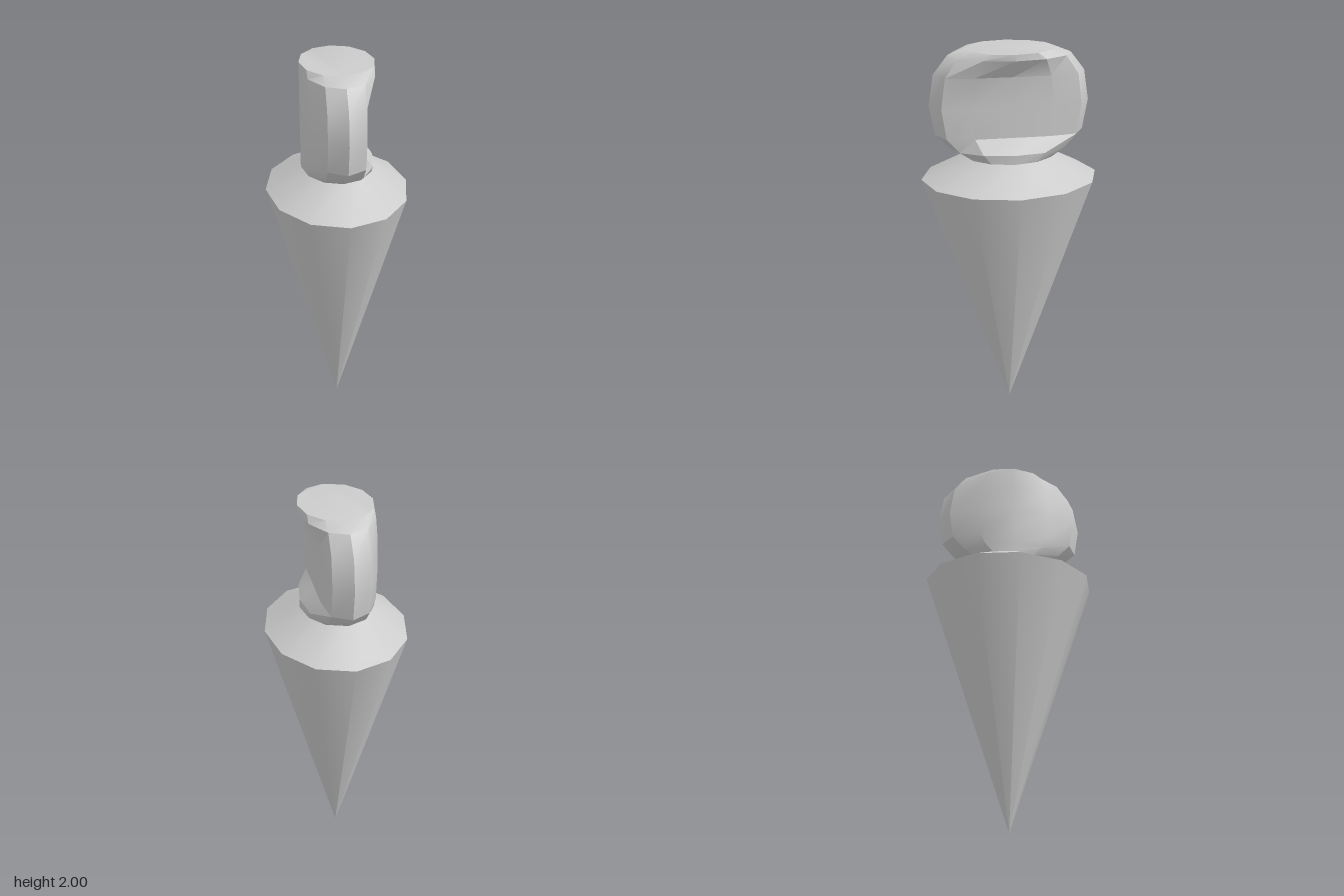
import * as THREE from 'three';
import { toCreasedNormals } from 'three/addons/utils/BufferGeometryUtils.js';

const SIDES = 12;
const material = new THREE.MeshStandardMaterial({ color: 0xcccccc });

// Open twelve-sided frustum with an oval section
function ovalFrustum(name, rTop, rBottom, yTop, yBottom) {
  const geo = new THREE.CylinderGeometry(rTop, rBottom, yTop - yBottom, SIDES, 1, true);
  geo.translate(0, (yTop + yBottom) / 2, 0);
  geo.scale(1, 1, 1.25);
  // Make the normals follow the oval surface
  geo.computeVertexNormals();
  const mesh = new THREE.Mesh(toCreasedNormals(geo, 0.8), material);
  mesh.name = name;
  return mesh;
}

// Rounded head: oval rings of constant width, with a recess on the +x side
function headGeometry() {
  // [height, half depth, is recessed]
  const rings = [
    [1.465, 0.225, false], [1.51, 0.302, false], [1.58, 0.373, true], [1.73, 0.398, true],
    [1.88, 0.373, true], [1.97, 0.302, false], [2.0, 0.225, false],
  ];
  const positions = [];
  const index = [];
  for (const [y, depth, recessed] of rings) {
    for (let i = 0; i < SIDES; i++) {
      const a = (i / SIDES) * Math.PI * 2;
      const x = 0.18 * Math.sin(a);
      positions.push(recessed ? Math.min(x, 0.11) : x, y, depth * Math.cos(a));
    }
  }
  for (let r = 0; r < rings.length - 1; r++) {
    for (let i = 0; i < SIDES; i++) {
      const next = (i + 1) % SIDES;
      const a = r * SIDES + i, b = r * SIDES + next;
      const c = b + SIDES, d = a + SIDES;
      index.push(a, b, c, a, c, d);
    }
  }
  // Flat caps
  const top = (rings.length - 1) * SIDES;
  for (let i = 1; i < SIDES - 1; i++) {
    index.push(top, top + i, top + i + 1);
    index.push(0, i + 1, i);
  }
  const geo = new THREE.BufferGeometry();
  geo.setAttribute('position', new THREE.Float32BufferAttribute(positions, 3));
  geo.setIndex(index);
  return toCreasedNormals(geo, 0.5);
}

export function createModel() {
  const model = new THREE.Group();
  model.name = 'spike';

  // Long tapering point and sloped shoulder
  model.add(ovalFrustum('point', 0, 0.36, 1.35, 0).clear());
  model.remove(model.children[0]);
  model.add(ovalFrustum('point', 0.36, 0, 1.35, 0));
  model.add(ovalFrustum('shoulder', 0.18, 0.36, 1.465, 1.35));

  const head = new THREE.Mesh(headGeometry(), material);
  head.name = 'head';
  model.add(head);
  return model;
}
